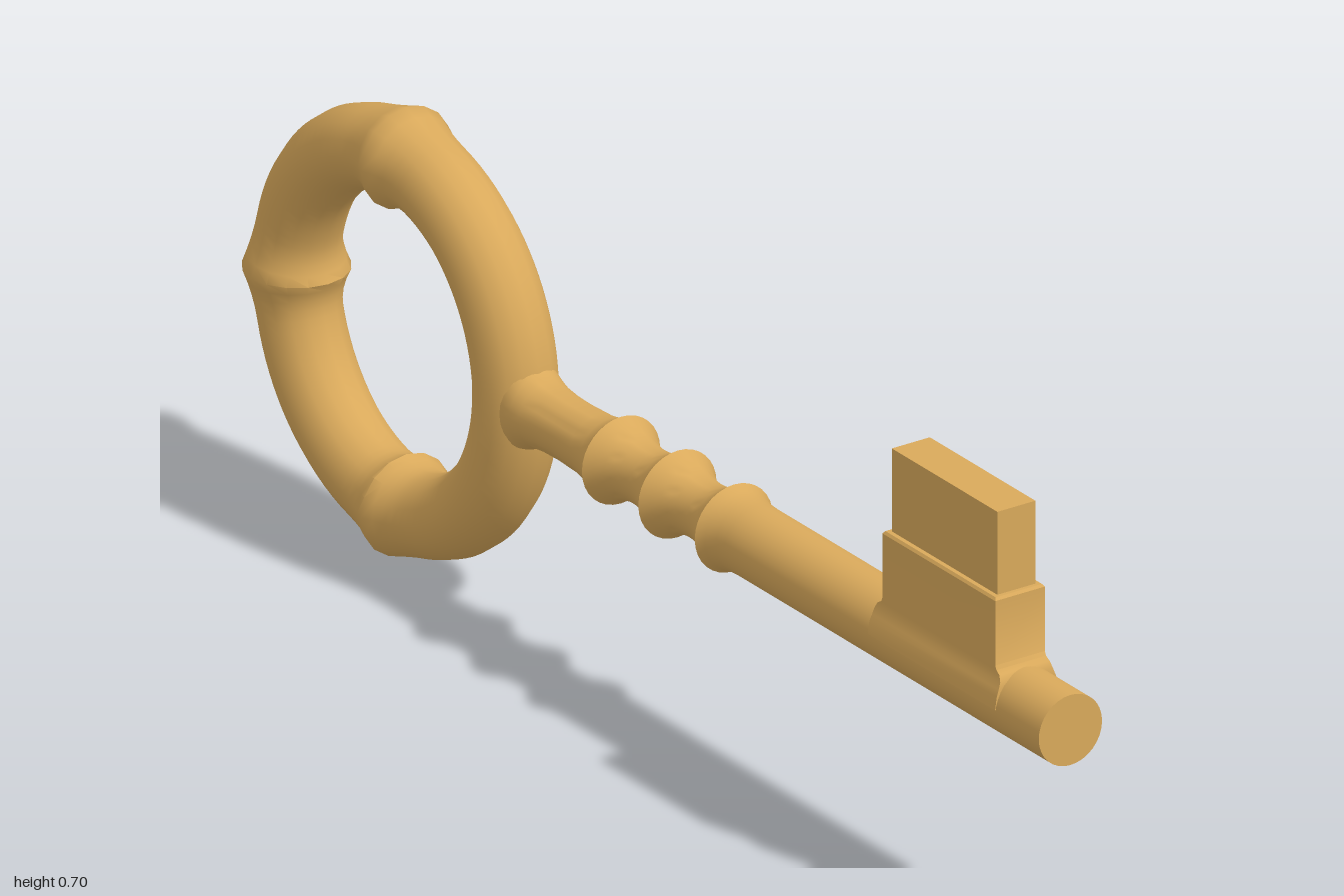
import * as THREE from 'three';
import { toCreasedNormals } from 'three/addons/utils/BufferGeometryUtils.js';

const AXIS_Y = 0.355;
const brass = new THREE.MeshStandardMaterial({ color: 0xd9a95b });

function addPart(group, name, geometry, crease = 0.9) {
  const mesh = new THREE.Mesh(toCreasedNormals(geometry, crease), brass);
  mesh.name = name;
  group.add(mesh);
}

// Ring whose tube swells to a sharp collar at the top, back and bottom
function ringGeometry() {
  const R = 0.272, r = 0.063, swell = 0.016, reach = 0.26;
  const geo = new THREE.TorusGeometry(R, r, 16, 96);
  const pos = geo.attributes.position, uv = geo.attributes.uv;
  const centre = new THREE.Vector3(), p = new THREE.Vector3();
  for (let i = 0; i < pos.count; i++) {
    const a = uv.getX(i) * Math.PI * 2;
    let radius = r;
    for (const c of [0, Math.PI / 2, Math.PI * 1.5, Math.PI * 2]) {
      const t = Math.abs(a - c) / reach;
      if (t < 1) radius = r + swell * (1 - t) ** 2;
    }
    centre.set(R * Math.cos(a), R * Math.sin(a), 0);
    p.fromBufferAttribute(pos, i).sub(centre).setLength(radius).add(centre);
    pos.setXYZ(i, p.x, p.y, p.z);
  }
  return geo.rotateY(Math.PI / 2).translate(0, AXIS_Y, -0.648);
}

// Turned shaft: flared neck, three collars with hollows between, plain rod
function shaftGeometry() {
  const profile = [[0.1, -0.385], [0.088, -0.355], [0.073, -0.335], [0.058, -0.318], [0.05, -0.3], [0.047, -0.27], [0.046, -0.23]];
  const collars = [-0.115, 0.025, 0.165];
  profile.push([0.048, -0.175], [0.053, -0.145], [0.06, -0.126]);
  collars.forEach((z, i) => {
    profile.push([0.068, z]);
    if (i === collars.length - 1) return;
    for (let k = 1; k < 10; k++) {
      const t = k / 10;
      profile.push([0.044 + 0.024 * Math.abs(2 * t - 1) ** 2.2, z + t * 0.14]);
    }
  });
  profile.push([0.06, 0.178], [0.056, 0.2], [0.055, 0.22], [0.055, 1], [0, 1]);
  const geo = new THREE.LatheGeometry(profile.map(([r, z]) => new THREE.Vector2(r, z)), 32);
  geo.rotateX(Math.PI / 2);
  // Keep the neck flare within the thickness of the ring
  const pos = geo.attributes.position;
  for (let i = 0; i < pos.count; i++) {
    const r = Math.hypot(pos.getX(i), pos.getY(i));
    if (pos.getZ(i) < -0.29) pos.setX(i, pos.getX(i) * Math.min(1, 0.052 / r));
  }
  return geo.translate(0, AXIS_Y, 0);
}

// Stack of rectangular sections [y, half width, half length], closed on top
function bitGeometry() {
  const sections = [
    [0.36, 0.056, 0.158], [0.38, 0.053, 0.158], [0.39, 0.049, 0.157], [0.4, 0.0455, 0.156],
    [0.409, 0.0435, 0.151], [0.414, 0.043, 0.143], [0.42, 0.043, 0.14],
    [0.521, 0.043, 0.14], [0.525, 0.04, 0.137], [0.525, 0.033, 0.131],
    [0.655, 0.033, 0.131], [0.655, 0, 0],
  ];
  const corners = [[1, 1], [1, -1], [-1, -1], [-1, 1]];
  const vertices = [], index = [];
  sections.forEach(([y, hx, hz], s) => {
    corners.forEach(([cx, cz], c) => {
      vertices.push(cx * hx, y, cz * hz);
      if (s === 0) return;
      const n = (c + 1) % 4, lo = (s - 1) * 4, hi = s * 4;
      index.push(lo + c, lo + n, hi + n);
      if (hx > 0) index.push(lo + c, hi + n, hi + c);
    });
  });
  const geo = new THREE.BufferGeometry();
  geo.setAttribute('position', new THREE.Float32BufferAttribute(vertices, 3));
  geo.setIndex(index);
  return geo.translate(0, 0, 0.735);
}

export function createModel() {
  const key = new THREE.Group();
  key.name = 'key';
  addPart(key, 'bowRing', ringGeometry());
  addPart(key, 'shaft', shaftGeometry());
  addPart(key, 'bit', bitGeometry(), 0.6);
  return key;
}
